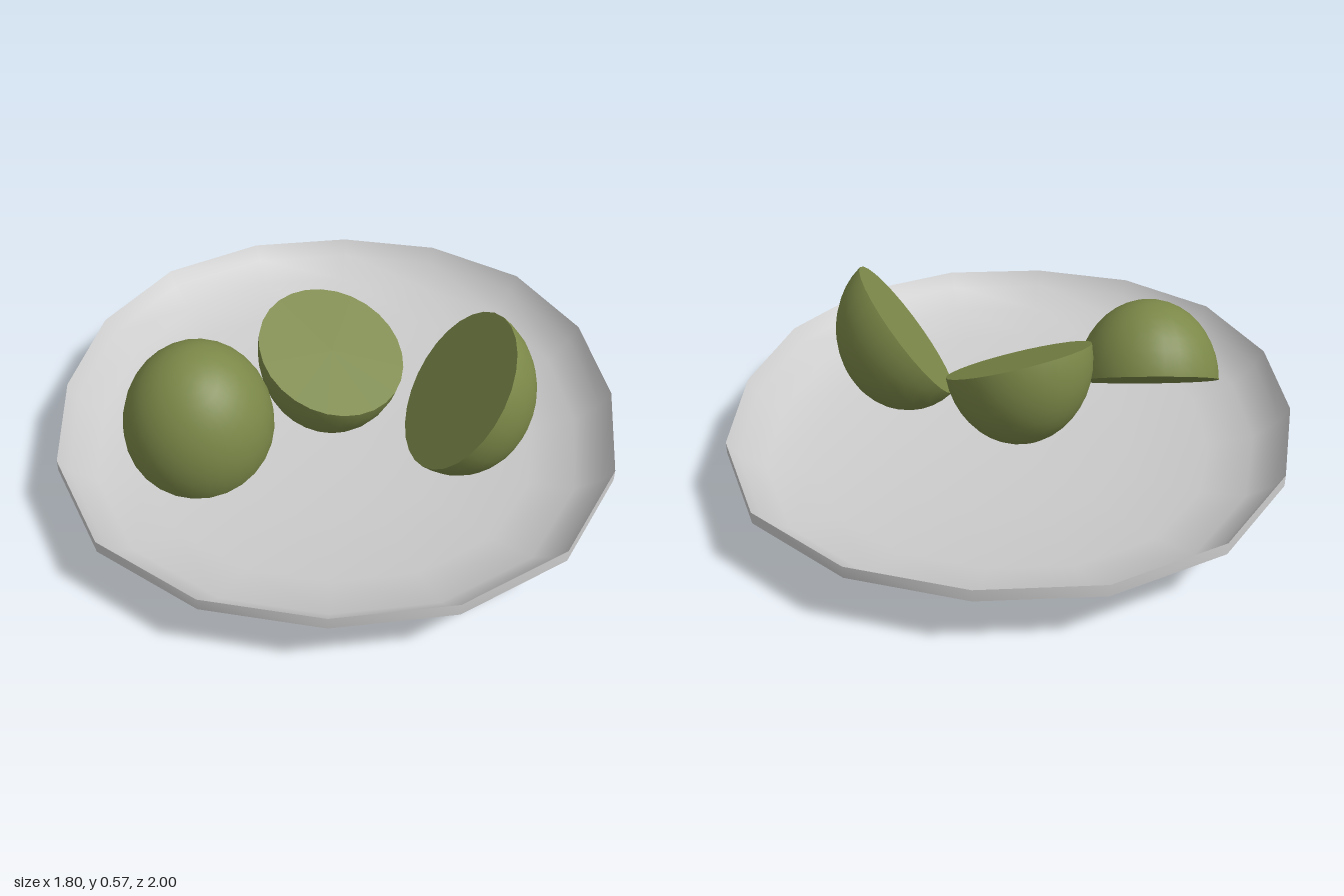
import * as THREE from 'three';
import { mergeVertices } from 'three/addons/utils/BufferGeometryUtils.js';

const glaze = new THREE.MeshStandardMaterial({ color: 0xcccccc, side: THREE.DoubleSide });
glaze.name = 'grey glaze';
const green = new THREE.MeshStandardMaterial({ color: 0x7b8848 });
green.name = 'olive green';

// Sixteen-sided surface of revolution, eased into a slightly squared oval
function dishSurface(name, profile) {
  let geo = new THREE.LatheGeometry(profile.map(([r, y]) => new THREE.Vector2(r, y)), 16);
  const pos = geo.attributes.position;
  for (let i = 0; i < pos.count; i++) {
    const x = pos.getX(i), z = pos.getZ(i);
    const bulge = 1.0195 - 0.0195 * Math.cos(4 * Math.atan2(z, x));
    pos.setX(i, x * bulge * 0.9);
    pos.setZ(i, z * bulge);
  }
  geo.deleteAttribute('normal');
  geo.deleteAttribute('uv');
  geo = mergeVertices(geo, 1e-4);
  geo.computeVertexNormals();
  const mesh = new THREE.Mesh(geo, glaze);
  mesh.name = name;
  return mesh;
}

// Halved fruit: round skin and flat cut face, cut facing the given direction
function halfFruit(name, centre, cutNormal) {
  const radius = 0.241;
  const half = new THREE.Group();
  const skin = new THREE.Mesh(
    new THREE.SphereGeometry(radius, 28, 10, 0, Math.PI * 2, Math.PI / 2, Math.PI / 2), green);
  skin.name = 'skin';
  const cut = new THREE.Mesh(new THREE.CircleGeometry(radius, 28).rotateX(-Math.PI / 2), green);
  cut.name = 'cutFace';
  half.add(skin, cut);
  half.quaternion.setFromUnitVectors(
    new THREE.Vector3(0, 1, 0), new THREE.Vector3(...cutNormal).normalize());

  // Upright stretch applied after the tilt
  const fruit = new THREE.Group();
  fruit.name = name;
  fruit.add(half);
  fruit.scale.y = 1.18;
  fruit.position.set(...centre);
  return fruit;
}

export function createModel() {
  const model = new THREE.Group();
  model.name = 'fruitDish';

  const dish = new THREE.Group();
  dish.name = 'dish';
  dish.add(
    dishSurface('underside', [[0, 0], [0.44, 0.02], [0.72, 0.047], [0.89, 0.09], [1, 0.178]]),
    dishSurface('rimBand', [[1, 0.178], [1, 0.215]]),
    dishSurface('bowlInside',
      [[1, 0.215], [0.965, 0.165], [0.88, 0.1], [0.72, 0.06], [0.44, 0.035], [0, 0.015]]),
  );

  model.add(
    dish,
    halfFruit('rightFruitHalf', [-0.44, 0.197, 0.17], [-0.06, -1, -0.53]),
    halfFruit('middleFruitHalf', [-0.02, 0.355, -0.02], [0.236, 0.928, 0.289]),
    halfFruit('leftFruitHalf', [0.38, 0.345, 0.17], [-0.753, 0.617, 0.227]),
  );
  return model;
}
